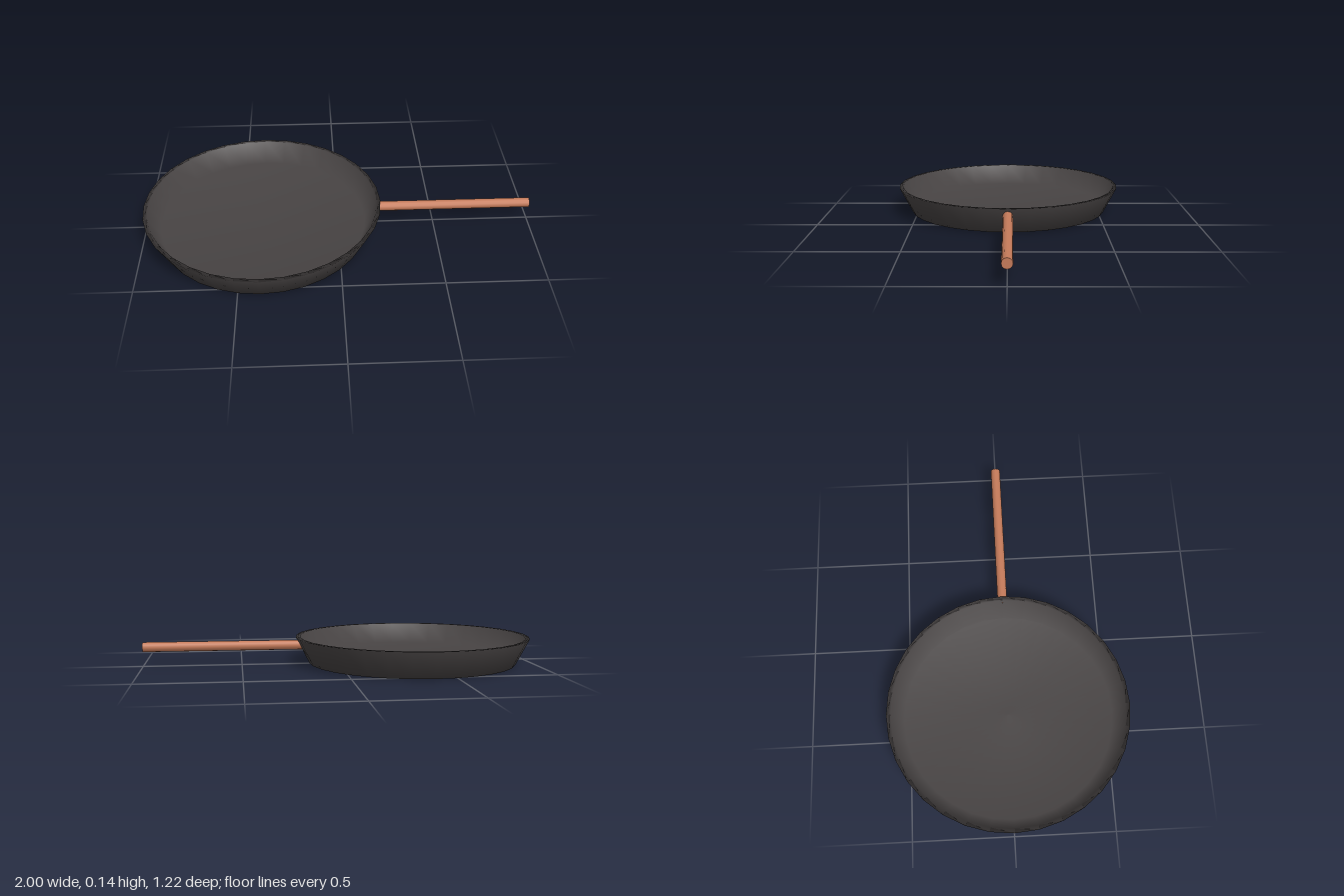
import * as THREE from 'three';

export function createModel() {
  const iron = new THREE.MeshStandardMaterial({ name: 'dark iron', color: 0x474343 });
  const copper = new THREE.MeshStandardMaterial({ name: 'copper', color: 0xc67b5a });
  const group = new THREE.Group();
  group.name = 'fryingPan';

  // Pan body: underside, flared wall, thin lip, inner wall and floor
  const profile = [
    [0, 0], [0.54, 0], [0.61, 0.137], [0.588, 0.137], [0.53, 0.03], [0, 0.03],
  ].map(([r, y]) => new THREE.Vector2(r, y));
  const pan = new THREE.Mesh(new THREE.LatheGeometry(profile, 32), iron);
  pan.name = 'panBody';
  pan.position.x = -0.39;
  group.add(pan);

  // Straight round handle, set into the wall
  const start = 0.19, end = 1;
  const handle = new THREE.Mesh(
    new THREE.CylinderGeometry(0.025, 0.025, end - start, 12).rotateZ(-Math.PI / 2), copper);
  handle.name = 'handle';
  handle.position.set((start + end) / 2, 0.099, 0);
  group.add(handle);

  return group;
}
